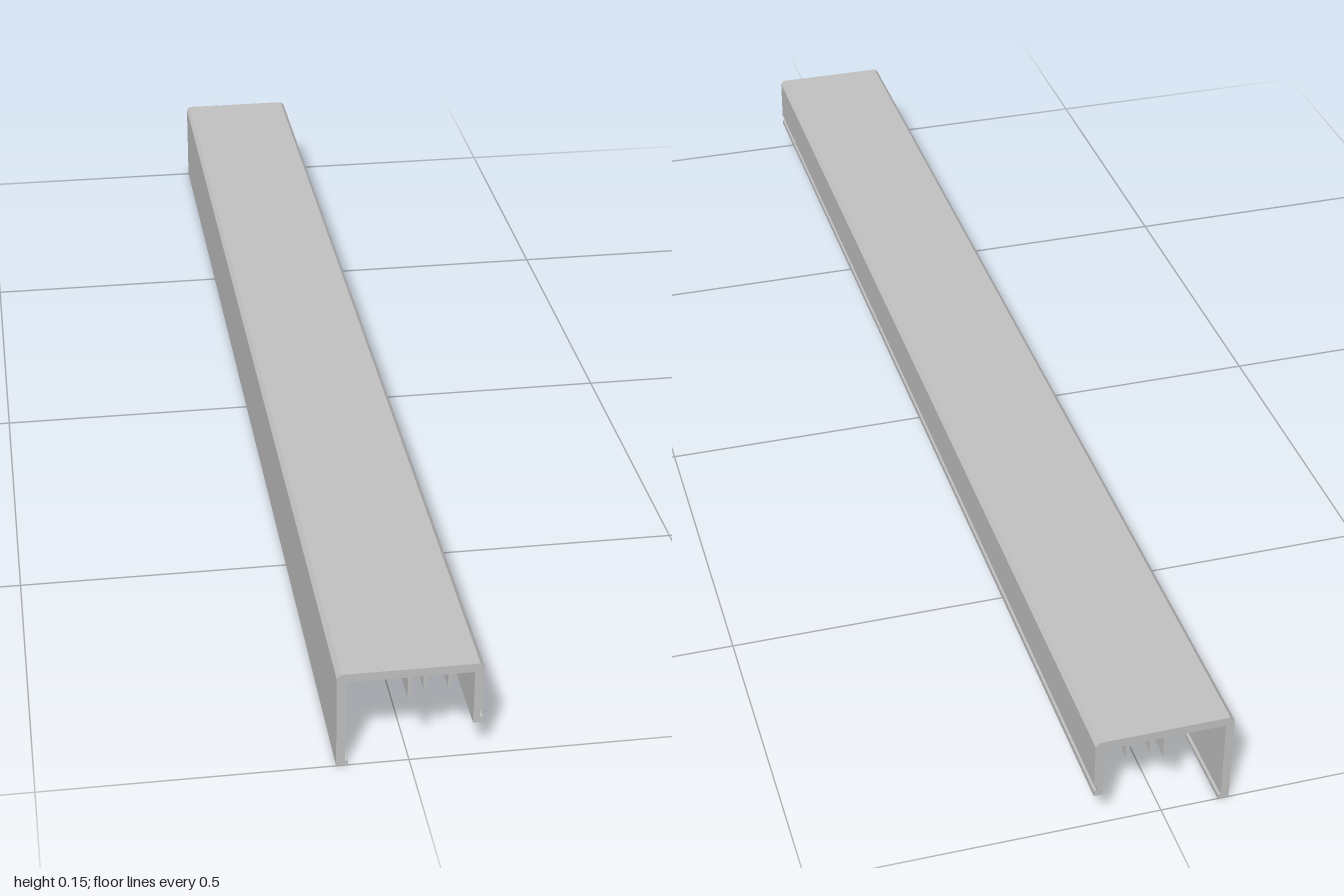
import * as THREE from 'three';

const LENGTH = 2;

export function createModel() {
  const group = new THREE.Group();
  group.name = 'channelProfile';
  const metal = new THREE.MeshStandardMaterial({ color: 0xc0c0c0 });
  metal.name = 'grey metal';

  // Extrudes a front cross-section along the full length
  function addExtrusion(name, points) {
    const shape = new THREE.Shape(points.map(([x, y]) => new THREE.Vector2(x, y)));
    const geometry = new THREE.ExtrudeGeometry(shape, { depth: LENGTH, bevelEnabled: false });
    geometry.translate(0, 0, -LENGTH / 2);
    const mesh = new THREE.Mesh(geometry, metal);
    mesh.name = name;
    group.add(mesh);
  }

  // Channel shell: tall wall with foot lip, chamfered top, short wall with outer groove
  addExtrusion('channelShell', [
    [-0.099, 0], [-0.083, 0], [-0.083, 0.007], [-0.087, 0.007],
    [-0.087, 0.134], [0.086, 0.134], [0.086, 0.052], [0.099, 0.052],
    [0.099, 0.061], [0.095, 0.061], [0.095, 0.071], [0.099, 0.071],
    [0.099, 0.141], [0.093, 0.147], [-0.093, 0.147], [-0.099, 0.141],
  ]);

  // Ribs hanging under the top: left edge, right edge, bottom
  const ribs = [
    ['longRib', -0.004, 0.002, 0.101],
    ['innerShortRib', 0.017, 0.022, 0.114],
    ['outerShortRib', 0.05, 0.056, 0.114],
  ];
  for (const [name, left, right, bottom] of ribs) {
    addExtrusion(name, [[left, bottom], [right, bottom], [right, 0.134], [left, 0.134]]);
  }

  return group;
}
